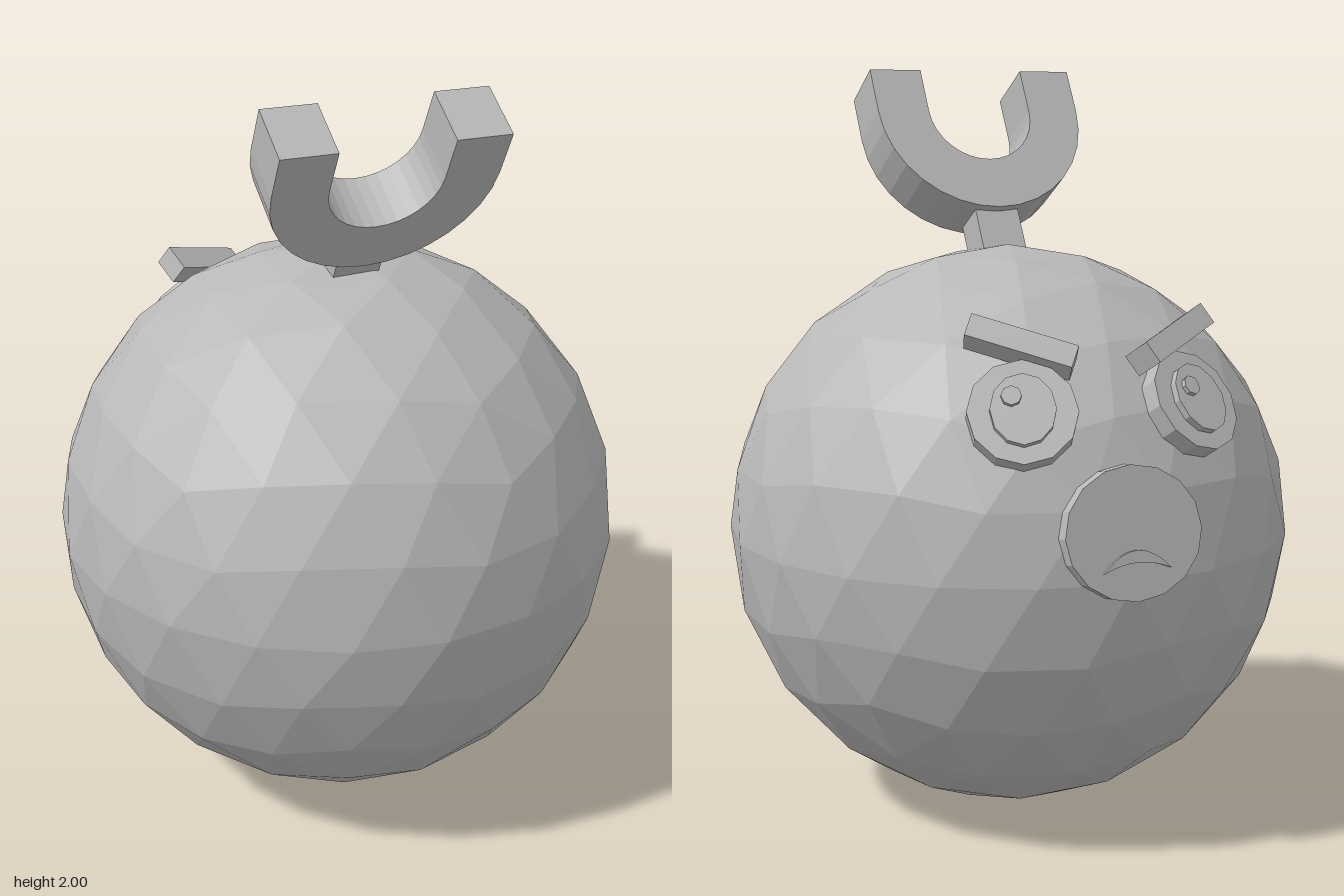
import * as THREE from 'three';

const grey = new THREE.MeshStandardMaterial({ color: 0xb8b8b8, flatShading: true });
grey.name = 'grey';

const CENTRE = new THREE.Vector3(0, 0.767, 0.012);
const RADIUS = 0.765;

function add(parent, name, geometry, x = 0, y = 0, z = 0) {
  const mesh = new THREE.Mesh(geometry, grey);
  mesh.name = name;
  mesh.position.set(x, y, z);
  parent.add(mesh);
  return mesh;
}

// Icosphere with a corner at each pole, halved twice
function icosphere(radius) {
  const points = [0, 1, 0];
  const ring = (offset, y) => {
    for (let i = 0; i < 5; i++) {
      const a = ((i * 72 + offset) * Math.PI) / 180;
      points.push(0.8944 * Math.cos(a), y, 0.8944 * Math.sin(a));
    }
  };
  ring(0, 0.4472);
  ring(36, -0.4472);
  points.push(0, -1, 0);
  const faces = [];
  for (let i = 0; i < 5; i++) {
    const j = (i + 1) % 5;
    const u = 1 + i, u2 = 1 + j, l = 6 + i, l2 = 6 + j;
    faces.push(0, u2, u, u, u2, l, l, u2, l2, 11, l, l2);
  }
  let geometry = new THREE.PolyhedronGeometry(points, faces, radius, 1);
  const pos = Array.from(geometry.attributes.position.array);
  geometry = new THREE.PolyhedronGeometry(pos, pos.slice(0, pos.length / 3).map((_, i) => i), radius, 1);
  geometry.computeVertexNormals();
  return geometry;
}

// Elliptic disc facing +z, its front at z = 0
function disc(rx, ry, depth, sides) {
  return new THREE.CylinderGeometry(1, 1, depth, sides)
    .rotateX(Math.PI / 2)
    .translate(0, 0, -depth / 2)
    .scale(rx, ry, 1);
}

// Group sitting on the ball, its +z pointing outwards
function onBall(parent, name, x, y, z) {
  const group = new THREE.Group();
  group.name = name;
  group.position.set(x, y, z);
  group.lookAt(group.position.clone().multiplyScalar(2).sub(CENTRE));
  parent.add(group);
  return group;
}

export function createModel() {
  const model = new THREE.Group();
  model.name = 'ballCreature';

  add(model, 'body', icosphere(RADIUS), CENTRE.x, CENTRE.y, CENTRE.z);

  // Tilted fork on a short stem
  const top = new THREE.Group();
  top.name = 'topFork';
  top.position.set(0, 1.59, 0.135);
  top.rotation.x = Math.PI / 6;
  model.add(top);

  const outer = 0.297, inner = 0.15, tip = 0.426;
  const u = new THREE.Shape();
  u.moveTo(outer, tip);
  u.lineTo(inner, tip);
  u.lineTo(inner, outer);
  u.absarc(0, outer, inner, 0, -Math.PI, true);
  u.lineTo(-inner, tip);
  u.lineTo(-outer, tip);
  u.lineTo(-outer, outer);
  u.absarc(0, outer, outer, Math.PI, Math.PI * 2, false);
  u.closePath();
  const fork = new THREE.ExtrudeGeometry(u, { depth: 0.165, bevelEnabled: false, curveSegments: 8 });
  add(top, 'fork', fork.translate(0, 0, -0.0825));
  add(top, 'stem', new THREE.BoxGeometry(0.125, 0.13, 0.11), 0, -0.045, 0);

  // Eyes with slanted brows, on the -z side
  for (const side of [-1, 1]) {
    const eye = onBall(model, side > 0 ? 'leftEye' : 'rightEye', side * 0.235, 1.18, -0.62);
    add(eye, 'eyeDisc', disc(0.135, 0.135, 0.055, 12));
    add(eye, 'iris', disc(0.08, 0.092, 0.03, 12), 0, 0, 0.018);
    add(eye, 'glint', disc(0.025, 0.025, 0.025, 8), -0.028, 0.03, 0.03);
    const brow = add(eye, 'brow', new THREE.BoxGeometry(0.27, 0.06, 0.08), 0, 0.168, 0);
    brow.rotation.z = -side * 0.33;
  }

  // Oval muzzle with a thin frown
  const muzzle = onBall(model, 'muzzle', 0, 0.89, -0.751);
  add(muzzle, 'muzzleDisc', disc(0.183, 0.165, 0.055, 16));
  const frown = new THREE.Shape();
  frown.moveTo(-0.09, -0.09);
  frown.quadraticCurveTo(0, 0.01, 0.09, -0.09);
  frown.quadraticCurveTo(0, -0.05, -0.09, -0.09);
  add(muzzle, 'frown', new THREE.ExtrudeGeometry(frown, { depth: 0.008, bevelEnabled: false, curveSegments: 8 }));

  return model;
}
